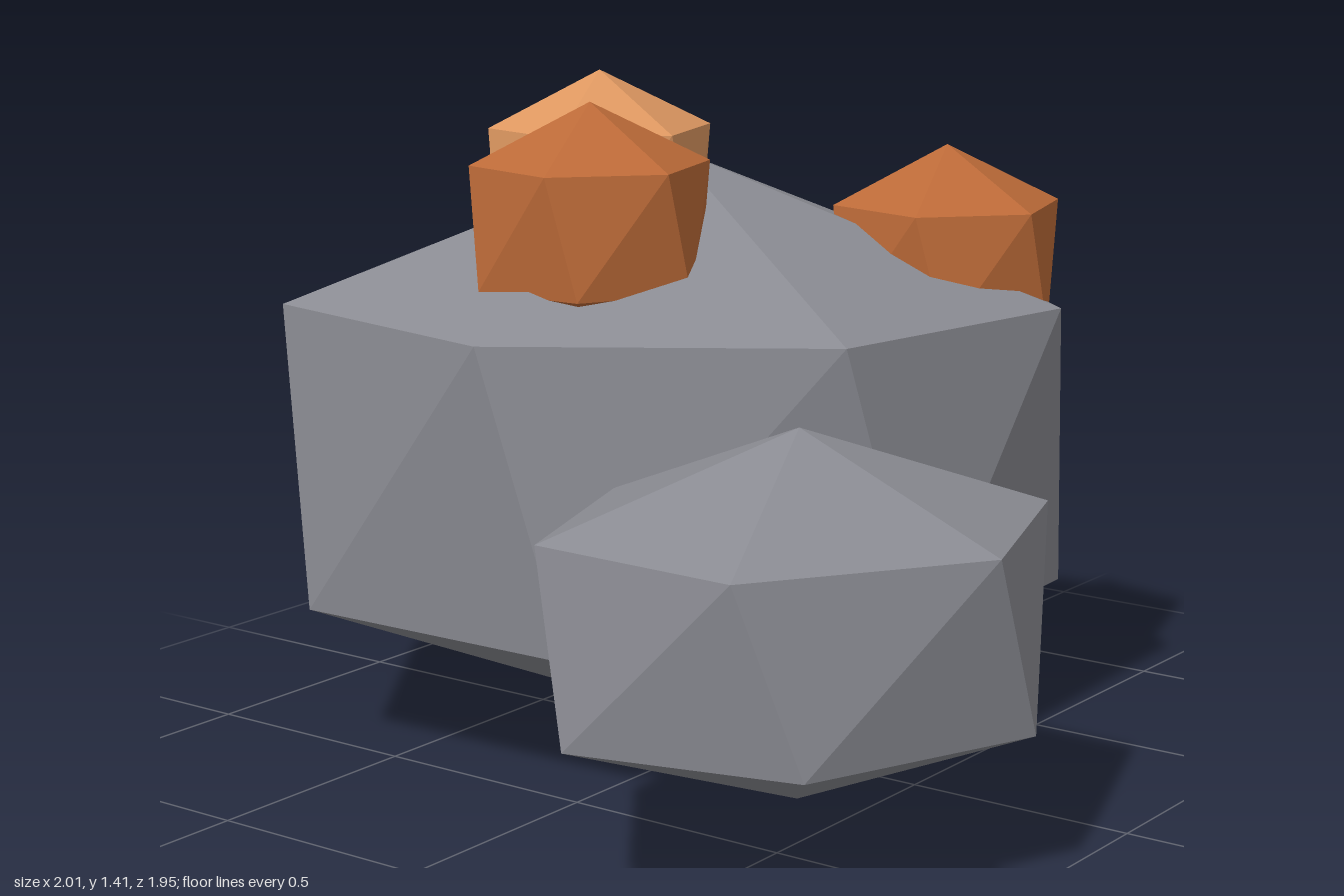
import * as THREE from 'three';

// Faceted stone: two poles and two n-sided rings, the lower ring turned back a quarter step.
// ax and az are the horizontal axes of the (possibly stretched) ring, as [x, z].
function stoneGeometry(n, halfHeight, ax, az) {
  const ring = (y, turn) => Array.from({ length: n }, (_, i) => {
    const a = (i + turn) * Math.PI * 2 / n;
    const c = Math.cos(a), s = Math.sin(a);
    return [c * ax[0] + s * az[0], y, c * ax[1] + s * az[1]];
  });
  const top = ring(halfHeight / 2, 0);
  const low = ring(-halfHeight / 2, -0.25);
  const apex = [0, halfHeight, 0], base = [0, -halfHeight, 0];
  const points = [];
  for (let i = 0; i < n; i++) {
    const j = (i + 1) % n;
    points.push(apex, top[j], top[i]);
    points.push(top[i], top[j], low[j]);
    points.push(top[i], low[j], low[i]);
    points.push(base, low[i], low[j]);
  }
  const geometry = new THREE.BufferGeometry();
  geometry.setAttribute('position', new THREE.Float32BufferAttribute(points.flat(), 3));
  geometry.computeVertexNormals();
  return geometry;
}

function flat(name, color) {
  const material = new THREE.MeshStandardMaterial({ color, flatShading: true });
  material.name = name;
  return material;
}

export function createModel() {
  const model = new THREE.Group();
  model.name = 'oreRock';
  const stone = flat('grey stone', 0x8a8b92);
  const darkOre = flat('dark copper', 0xbc6a38);
  const lightOre = flat('light copper', 0xdd9760);

  const add = (name, geometry, material, x, y, z) => {
    const mesh = new THREE.Mesh(geometry, material);
    mesh.name = name;
    mesh.position.set(x, y, z);
    model.add(mesh);
  };

  // Boulders
  add('largeBoulder', stoneGeometry(7, 0.635, [0.66, 0.31], [-0.462, 0.68]), stone, -0.2, 0.635, -0.1);
  add('smallBoulder', stoneGeometry(6, 0.368, [0.455, 0.013], [-0.078, 0.504]), stone, 0.545, 0.488, 0.497);

  // Ore nuggets set into the large boulder
  const r = 0.252, a = THREE.MathUtils.degToRad(13);
  const nugget = stoneGeometry(6, 0.252,
    [r * Math.cos(a), r * Math.sin(a)], [-r * Math.sin(a), r * Math.cos(a)]);
  add('frontNugget', nugget, darkOre, -0.175, 1.148, 0.218);
  add('rightNugget', nugget, lightOre, -0.503, 1.16, -0.23);
  add('leftNugget', nugget, darkOre, 0.267, 1.025, -0.465);
  add('backNugget', nugget, lightOre, -0.59, 0.81, -0.73);

  return model;
}
